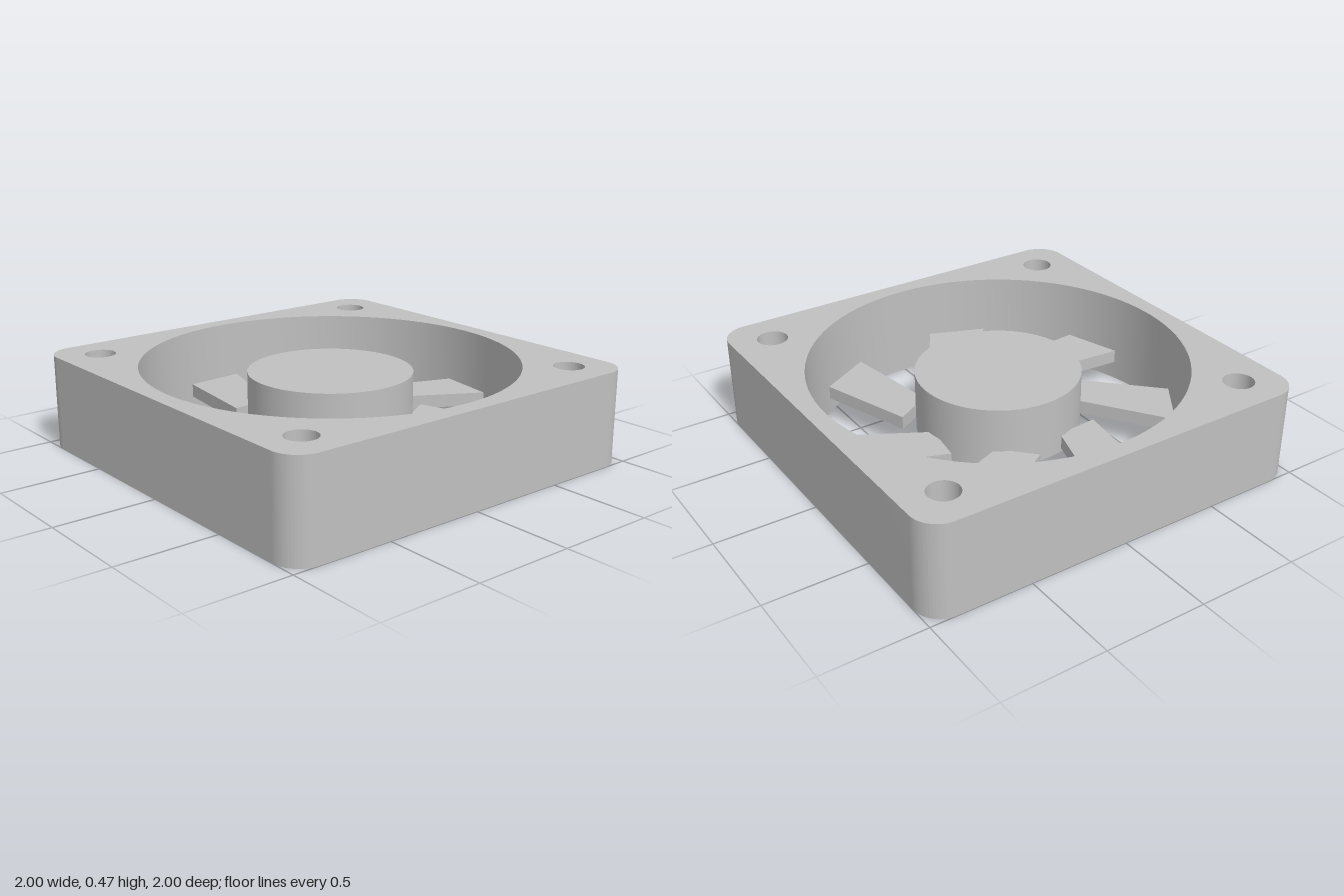
import * as THREE from 'three';
import { toCreasedNormals } from 'three/addons/utils/BufferGeometryUtils.js';

const HEIGHT = 0.467;

// Extrude a plan shape (shape y = -z) upward from y = bottom to y = top.
function slab(shape, bottom, top) {
  const geo = new THREE.ExtrudeGeometry(shape, {
    depth: top - bottom, bevelEnabled: false, curveSegments: 48,
  });
  geo.rotateX(-Math.PI / 2);
  geo.translate(0, bottom, 0);
  return toCreasedNormals(geo, 0.5);
}

function circlePath(x, y, r) {
  return new THREE.Path().absarc(x, y, r, 0, Math.PI * 2, true);
}

export function createModel() {
  const group = new THREE.Group();
  group.name = 'coolingFan';
  const grey = new THREE.MeshStandardMaterial({ color: 0xc0c0c0 });
  grey.name = 'light grey';

  const add = (name, geometry, parent = group) => {
    const mesh = new THREE.Mesh(geometry, grey);
    mesh.name = name;
    parent.add(mesh);
    return mesh;
  };

  // Square housing with rounded corners, a round bore and four screw holes
  const r = 0.133, c = 1 - r;
  const outline = new THREE.Shape();
  [[c, c], [-c, c], [-c, -c], [c, -c]].forEach(([x, y], i) => {
    outline.absarc(x, y, r, i * Math.PI / 2, (i + 1) * Math.PI / 2, false);
  });
  outline.closePath();
  outline.holes.push(circlePath(0, 0, 0.914));
  for (const x of [-0.8, 0.8]) {
    for (const y of [-0.8, 0.8]) outline.holes.push(circlePath(x, y, 0.075));
  }
  add('housing', slab(outline, 0, HEIGHT));

  // Rotor: solid hub with seven flat, swept blades
  const rotor = new THREE.Group();
  rotor.name = 'rotor';
  group.add(rotor);

  const hub = new THREE.CylinderGeometry(0.4, 0.4, 0.3, 96);
  hub.translate(0, 0.267, 0);
  add('hub', hub, rotor);

  const blade = new THREE.Shape([
    [0.38, 0.02], [0.825, -0.235], [0.87, 0.06], [0.41, 0.228],
  ].map(([x, y]) => new THREE.Vector2(x, y)));
  const bladeGeo = slab(blade, 0.133, 0.2);
  for (let i = 0; i < 7; i++) {
    add('blade', bladeGeo, rotor).rotation.y = (i * Math.PI * 2) / 7;
  }

  return group;
}
